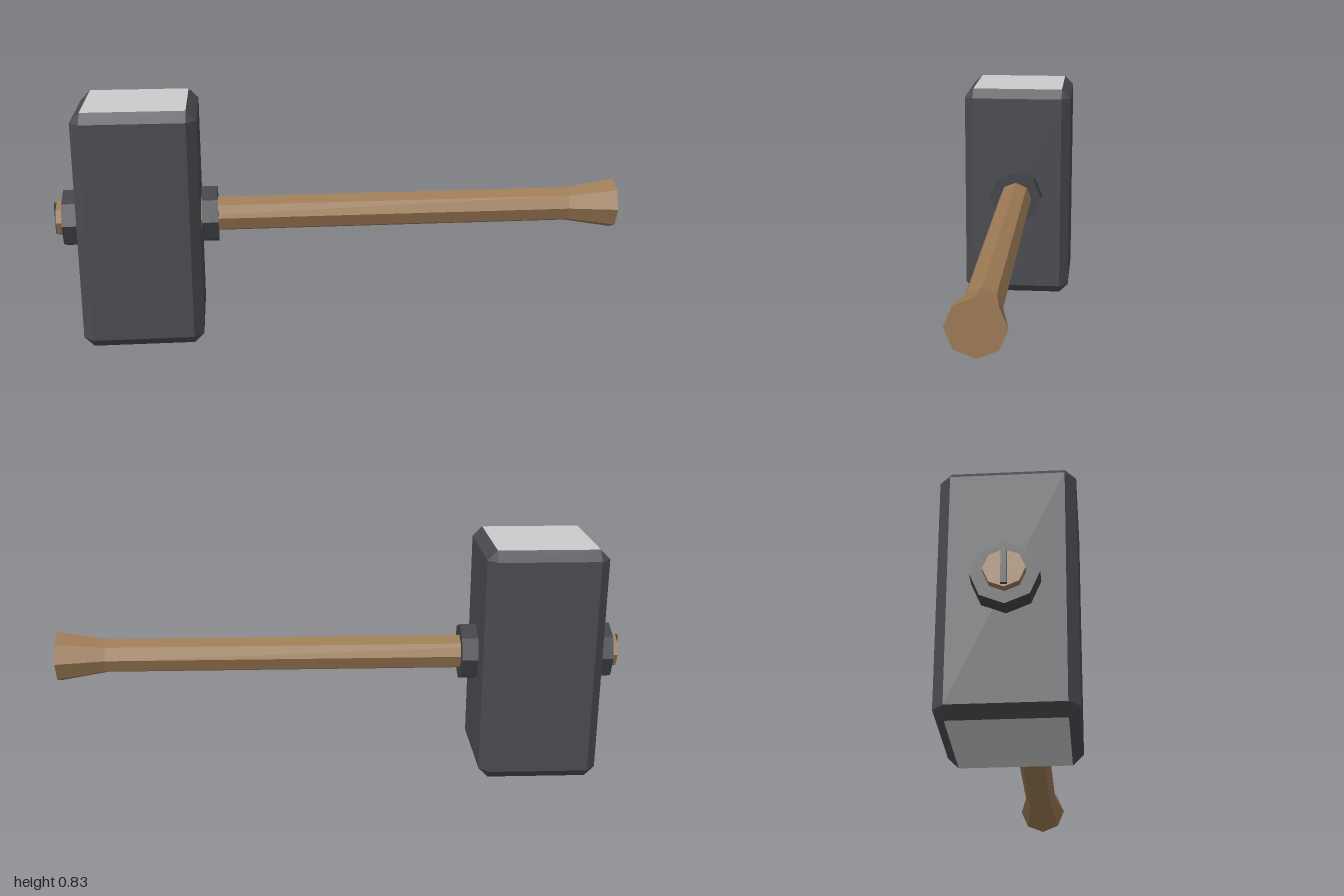
import * as THREE from 'three';

const CX = -0.697, CY = 0.417; // centre of the hammer head
const mat = (color) => new THREE.MeshStandardMaterial({ color, flatShading: true });

function add(parent, name, geometry, material, x, y, z) {
  const mesh = new THREE.Mesh(geometry, material);
  mesh.name = name;
  mesh.position.set(x, y, z);
  parent.add(mesh);
  return mesh;
}

// Square ring with cut corners; h = half width, c = corner cut
function ring(h, c, y) {
  const i = h - c;
  return [[h, i], [i, h], [-i, h], [-h, i], [-h, -i], [-i, -h], [i, -h], [h, -i]]
    .map(([x, z]) => [x, y, z]);
}

// Joins successive rings into a skin
function loft(rings) {
  const pos = [];
  for (let r = 0; r < rings.length - 1; r++) {
    for (let k = 0; k < 8; k++) {
      const n = (k + 1) % 8;
      const a = rings[r][k], b = rings[r][n], c = rings[r + 1][n], d = rings[r + 1][k];
      const same = (p, q) => p.every((v, j) => v === q[j]);
      if (!same(a, b)) pos.push(...a, ...d, ...b);
      if (!same(c, d)) pos.push(...b, ...d, ...c);
    }
  }
  const g = new THREE.BufferGeometry();
  g.setAttribute('position', new THREE.Float32BufferAttribute(pos, 3));
  g.computeVertexNormals();
  return g;
}

export function createModel() {
  const group = new THREE.Group();
  group.name = 'sledgehammer';
  const iron = mat(0x4a4b50), darkIron = mat(0x434448);
  const steel = mat(0xcfd0d3), wood = mat(0x9c7a54);

  // Bevelled block head
  const H = 0.208, C = 0.034, T = CY - C;
  const inner = H - C;
  add(group, 'head', loft([
    ring(inner, 0, -CY), ring(H, C, -T), ring(H, C, T), ring(inner, 0, CY),
  ]), iron, CX, CY, 0);

  // Bright striking faces, top and bottom
  for (const s of [1, -1]) {
    const face = add(group, s > 0 ? 'topStrikingFace' : 'bottomStrikingFace',
      new THREE.PlaneGeometry(inner * 2, inner * 2), steel, CX, CY + s * CY, 0);
    face.rotation.x = -s * Math.PI / 2;
  }

  // Octagonal collars on both sides of the head
  for (const s of [1, -1]) {
    const collar = add(group, s > 0 ? 'innerCollar' : 'outerCollar',
      new THREE.CylinderGeometry(0.102, 0.102, 0.057, 8), darkIron, CX + s * 0.24, CY, 0);
    collar.rotation.z = -Math.PI / 2;
  }

  // Octagonal handle with a flared grip end
  const profile = [[0, -0.99], [0.062, -0.99], [0.062, 0.83], [0.092, 1], [0, 1]]
    .map(([r, x]) => new THREE.Vector2(r, x));
  const handle = add(group, 'handle', new THREE.LatheGeometry(profile, 8), wood, 0, CY, 0);
  handle.rotation.z = -Math.PI / 2;

  // Wedge driven into the handle end
  add(group, 'wedge', new THREE.BoxGeometry(0.04, 0.108, 0.018), darkIron, -0.98, CY, 0);

  return group;
}
